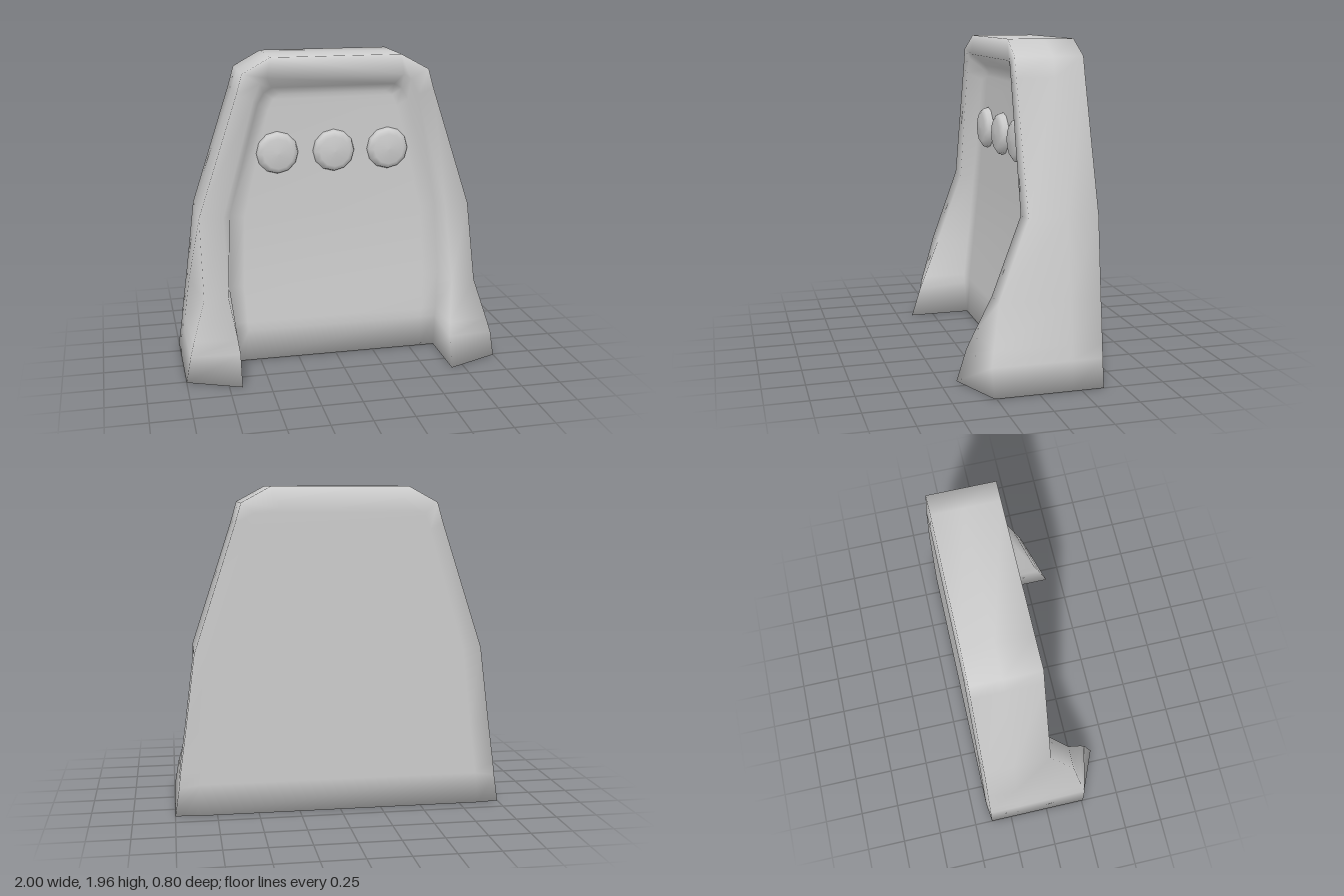
import * as THREE from 'three';

const material = new THREE.MeshStandardMaterial({ color: 0xcccccc });

// Guide points of the +x side, bottom to top: panel edge, inner rim, outer rim, flank width
const stations = [
  { panel: [0.67, 0, 0], rim: [0.67, 0, 0.4], outer: [1, 0, 0.26], flank: 1 },
  { panel: [0.67, 0.21, 0.02], rim: [0.67, 0.19, 0.34], outer: [0.97, 0.17, 0.27], flank: 0.975 },
  { panel: [0.675, 0.27, 0.02], rim: [0.68, 0.27, 0.305], outer: [0.945, 0.26, 0.25], flank: 0.965 },
  { panel: [0.69, 0.51, -0.01], rim: [0.72, 0.51, 0.2], outer: [0.87, 0.51, 0.2], flank: 0.93 },
  { panel: [0.67, 0.97, -0.05], rim: [0.72, 0.97, 0.03], outer: [0.87, 0.98, 0.03], flank: 0.87 },
  { panel: [0.48, 1.66, -0.06], rim: [0.52, 1.7, 0.03], outer: [0.62, 1.74, 0.03], flank: 0.62 },
  { panel: [0.44, 1.73, -0.06], rim: [0.475, 1.8, 0.025], outer: [0.585, 1.86, 0.03], flank: 0.585 },
  { panel: [0.39, 1.76, -0.06], rim: [0.43, 1.83, 0.02], outer: [0.41, 1.955, 0.02], flank: 0.41 },
];

// Half cross-section from the hollow front panel, over the rim, to the back panel
function halfSection({ panel, rim, outer, flank }) {
  const [px, py, pz] = panel;
  const y = outer[1];
  return [
    [px * 0.86, py * 0.975, py > 0 ? pz - 0.015 : pz],
    panel, rim, outer,
    [flank, y, -0.2],
    [flank, y, -0.385],
    [flank * 0.87, rim[1], -0.4],
  ];
}

function shellGeometry() {
  const sections = stations.map(halfSection);
  const half = sections[0].length;
  const count = half * 2;
  const positions = [];
  const index = [];
  const quad = (a, b, c, d) => index.push(a, b, c, a, c, d);
  const mirror = (i) => count - 1 - i;

  // Closed loops: the half section followed by its mirror image
  for (const section of sections) {
    for (const p of section) positions.push(...p);
    for (const [x, y, z] of [...section].reverse()) positions.push(-x, y, z);
  }
  // Skin between neighbouring loops
  for (let s = 0; s < sections.length - 1; s++) {
    for (let i = 0; i < count; i++) {
      const a = s * count + i;
      const b = s * count + (i + 1) % count;
      quad(a, b, b + count, a + count);
    }
  }
  // Top: strips joining both sides
  const top = (sections.length - 1) * count;
  for (let i = 0; i < half - 1; i++) {
    quad(top + i, top + i + 1, top + mirror(i + 1), top + mirror(i));
  }
  // Underside: a fan beneath each wing and a strip beneath the middle
  for (let i = 2; i < half - 1; i++) {
    index.push(1, i + 1, i);
    index.push(mirror(1), mirror(i), mirror(i + 1));
  }
  index.push(1, 0, half - 1, mirror(1), mirror(half - 1), mirror(0));
  quad(0, mirror(0), mirror(half - 1), half - 1);

  const geometry = new THREE.BufferGeometry();
  geometry.setAttribute('position', new THREE.Float32BufferAttribute(positions, 3));
  geometry.setIndex(index);
  geometry.computeVertexNormals();
  return geometry;
}

export function createModel() {
  const model = new THREE.Group();
  model.name = 'seatBack';

  // Padded shell with raised rim and forward side wings
  const shell = new THREE.Mesh(shellGeometry(), material);
  shell.name = 'backrestShell';
  model.add(shell);

  // Row of three rounded buttons
  const profile = [[0.12, -0.06], [0.135, -0.01], [0.125, 0.025], [0.095, 0.045], [0, 0.05]]
    .map(([r, y]) => new THREE.Vector2(r, y));
  const buttonGeometry = new THREE.LatheGeometry(profile, 12);
  buttonGeometry.rotateX(Math.PI / 2);
  const buttons = new THREE.Group();
  buttons.name = 'buttons';
  for (const x of [-0.36, 0, 0.35]) {
    const button = new THREE.Mesh(buttonGeometry, material);
    button.name = 'button';
    button.position.set(x, 1.35, -0.065);
    buttons.add(button);
  }
  model.add(buttons);

  return model;
}
